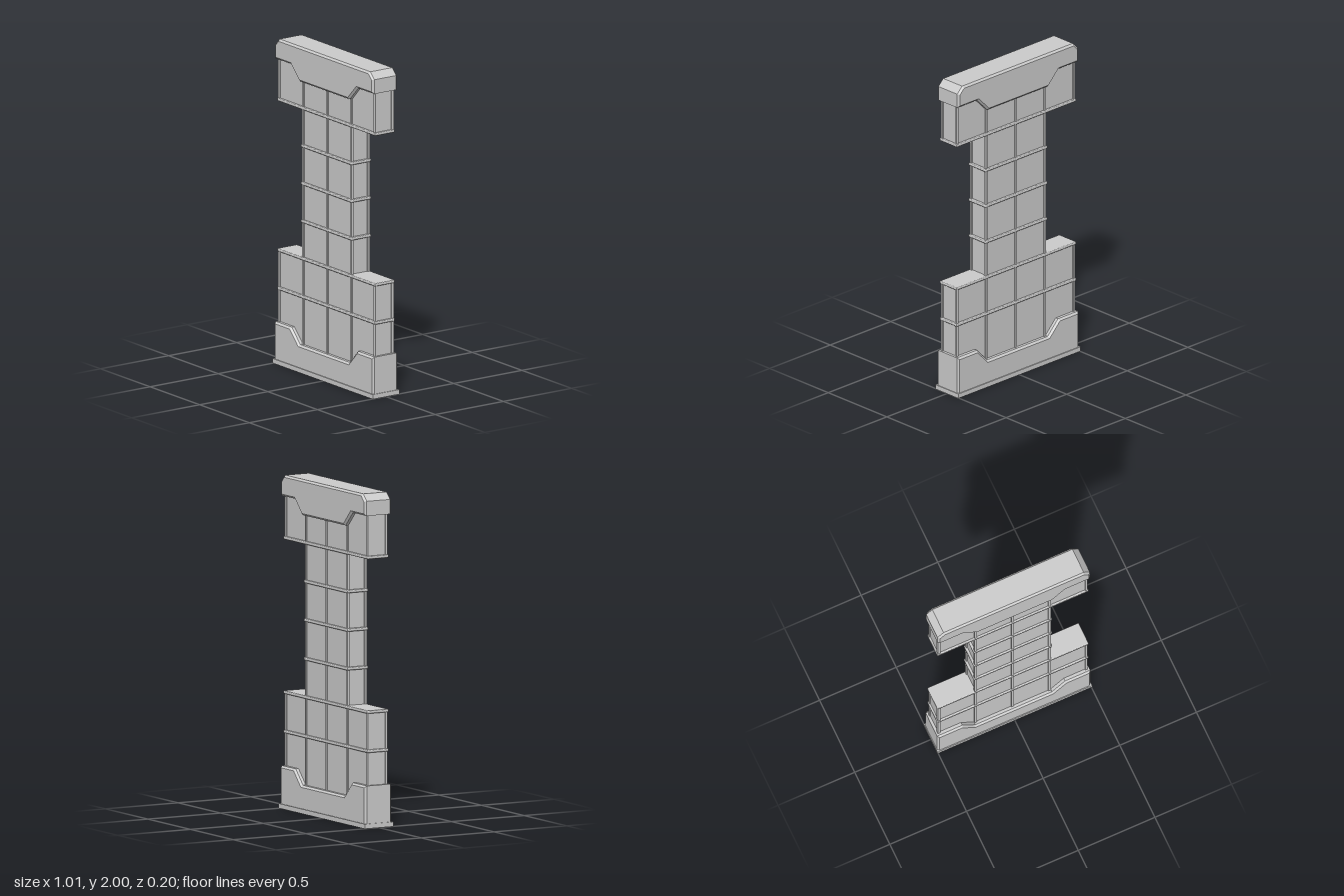
import * as THREE from 'three';
import { RoundedBoxGeometry } from 'three/addons/geometries/RoundedBoxGeometry.js';

const material = new THREE.MeshStandardMaterial({ color: 0xcccccc, flatShading: true });

export function createModel() {
  const group = new THREE.Group();

  const add = (name, geometry, x = 0, y = 0, z = 0) => {
    const mesh = new THREE.Mesh(geometry, material);
    mesh.name = name;
    mesh.position.set(x, y, z);
    group.add(mesh);
  };

  // Box spanning y0..y1, centred on x and z
  const block = (name, halfX, halfZ, y0, y1) =>
    add(name, new THREE.BoxGeometry(halfX * 2, y1 - y0, halfZ * 2), 0, (y0 + y1) / 2, 0);

  // Symmetric slab from its right-hand outline, with chamfered front and back edges
  const slab = (name, half) => {
    const outline = [...half, ...half.slice().reverse().map(([x, y]) => [-x, y])];
    const bevel = 0.012, halfZ = 0.092;
    const geometry = new THREE.ExtrudeGeometry(
      new THREE.Shape(outline.map(([x, y]) => new THREE.Vector2(x, y))),
      { depth: 2 * (halfZ - bevel), bevelSize: bevel, bevelThickness: bevel, bevelOffset: -bevel, bevelSegments: 1 });
    geometry.translate(0, 0, bevel - halfZ);
    add(name, geometry);
  };

  // Footing and stepped base and cap
  block('footing', 0.505, 0.098, 0, 0.028);
  slab('base', [[0.5, 0.005], [0.5, 0.255], [0.335, 0.255], [0.25, 0.167]]);
  slab('cap', [[0.25, 1.785], [0.335, 1.872], [0.497, 1.872], [0.497, 1.96], [0.457, 2]]);

  // Recessed panels
  block('column', 0.241, 0.062, 0.1, 1.9);
  block('lowerPanel', 0.483, 0.061, 0.1, 0.695);
  block('upperPanel', 0.483, 0.061, 1.615, 1.93);

  // Vertical strips, on front and back
  const strip = (name, x, y0, y1) => {
    for (const z of [-0.06, 0.06]) {
      add(name, new THREE.BoxGeometry(0.016, y1 - y0, 0.016), x, (y0 + y1) / 2, z);
    }
  };
  strip('centreStrip', 0, 0.12, 1.88);
  for (const side of [-1, 1]) {
    strip('columnStrip', side * 0.241, 0.12, 1.88);
    strip('lowerCornerStrip', side * 0.481, 0.12, 0.695);
    strip('upperCornerStrip', side * 0.481, 1.615, 1.9);
  }

  // Horizontal bands wrapping the panels
  const band = (halfX, y) =>
    add('band', new RoundedBoxGeometry(halfX * 2, 0.019, 0.148, 2, 0.007), 0, y, 0);
  for (const y of [0.46, 0.695, 1.62]) band(0.495, y);
  for (const y of [0.925, 1.157, 1.388]) band(0.257, y);

  return group;
}
